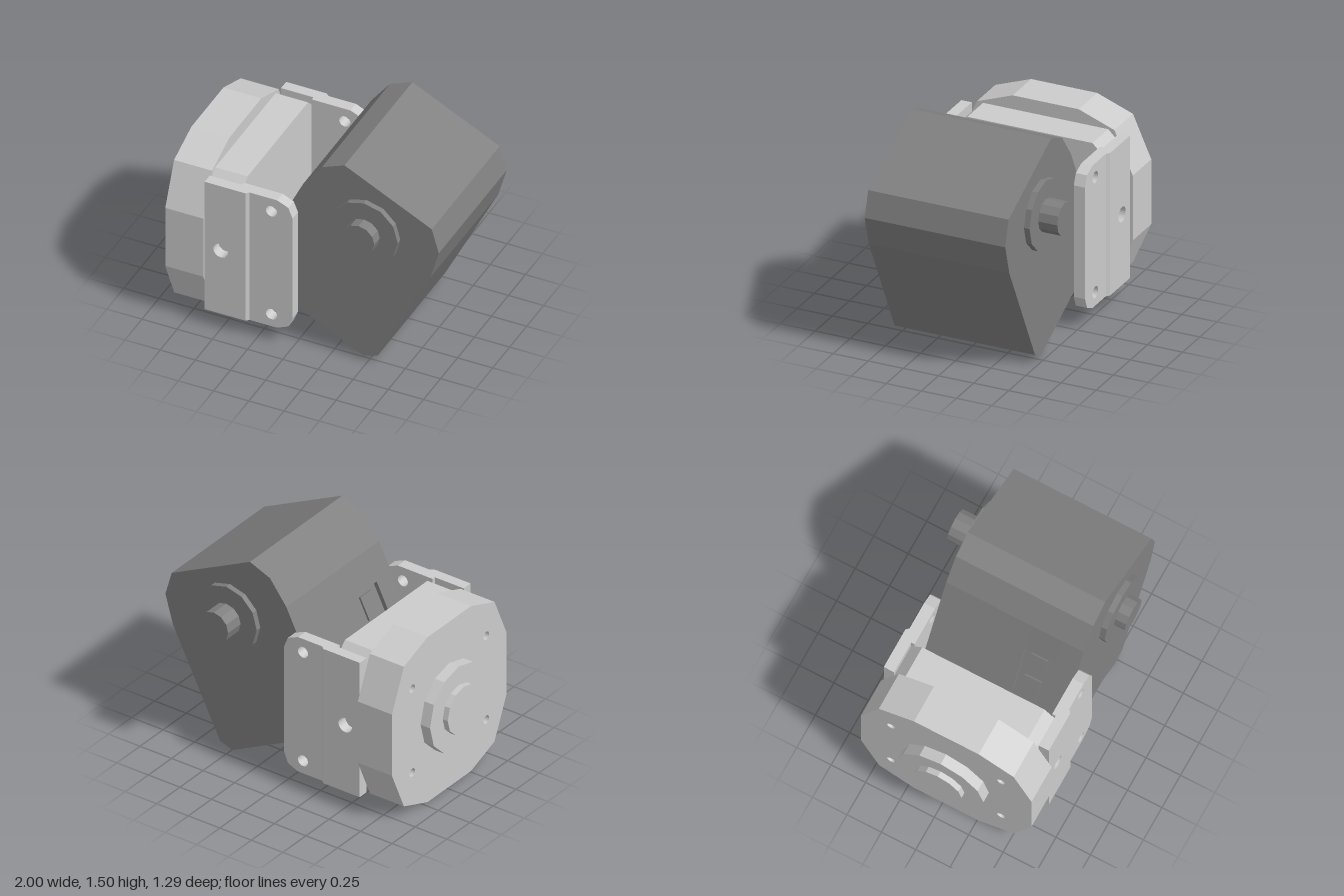
import * as THREE from 'three';

const ZC = 0.025; // depth centre of the symmetric parts
const YC = 0.62;  // height of the flange axis

export function createModel() {
  const model = new THREE.Group();
  const light = new THREE.MeshStandardMaterial({ color: 0xcccccc, flatShading: true });
  const dark = new THREE.MeshStandardMaterial({ color: 0x808080, flatShading: true });

  const add = (name, geometry, material) => {
    const mesh = new THREE.Mesh(geometry, material);
    mesh.name = name;
    model.add(mesh);
    return mesh;
  };
  const shapeOf = (points, holes = []) => {
    const shape = new THREE.Shape(points.map(([x, y]) => new THREE.Vector2(x, y)));
    for (const [x, y, r] of holes) {
      shape.holes.push(new THREE.Path().absarc(x, y, r, 0, Math.PI * 2, true));
    }
    return shape;
  };
  const extrude = (shape, depth) =>
    new THREE.ExtrudeGeometry(shape, { depth, bevelEnabled: false, curveSegments: 12 });
  // outline in x/y, between two z values
  const alongZ = (points, z0, z1, holes) =>
    extrude(shapeOf(points, holes), z1 - z0).translate(0, 0, z0);
  // outline in z/y, between two x values
  const alongX = (points, x0, x1, holes) =>
    extrude(shapeOf(points, holes), x1 - x0).rotateY(-Math.PI / 2).translate(x1, YC, ZC);
  // outline in x/z, between two y values
  const alongY = (points, y0, y1) =>
    extrude(shapeOf(points.map(([x, z]) => [x, -z])), y1 - y0).rotateX(-Math.PI / 2).translate(0, y0, 0);
  // mirror one quadrant of an outline into all four, counter-clockwise
  const quad = (q) => {
    const r = [...q].reverse();
    return [...q, ...r.map(([a, b]) => [-a, b]), ...q.map(([a, b]) => [-a, -b]), ...r.map(([a, b]) => [a, -b])];
  };

  // Round flange with four bolt holes and a stepped hub
  const bolts = [];
  for (const a of [-1, 1]) for (const b of [-1, 1]) bolts.push([a * 0.4, b * 0.315, 0.03]);
  add('flange', alongX(quad([[0.62, 0.23], [0.49, 0.525], [0.235, 0.62]]), -0.885, -0.615, bolts), light);
  for (const [name, r, x0, x1] of [['flangeHub', 0.31, -0.96, -0.885], ['flangeBoss', 0.173, -1, -0.96]]) {
    add(name, new THREE.CylinderGeometry(r, r, x1 - x0, 12).rotateZ(Math.PI / 2)
      .translate((x0 + x1) / 2, YC, ZC), light);
  }

  // Chamfered core block behind the flange
  add('coreBlock', alongX(quad([[0.525, 0.445], [0.445, 0.523]]), -0.615, -0.385), light);

  // Pair of side brackets
  const thick = [[-0.615, 0.12], [-0.325, 0.12], [-0.325, 1.13], [-0.615, 1.13]];
  const plate = [[-0.385, 0.12], [-0.11, 0.12], [-0.03, 0.155], [0, 0.23],
    [0, 1.02], [-0.03, 1.095], [-0.11, 1.13], [-0.385, 1.13]];
  for (const s of [-1, 1]) {
    const side = s > 0 ? 'left' : 'right';
    const span = (a, b) => (s > 0 ? [ZC + a, ZC + b] : [ZC - b, ZC - a]);
    add(side + 'BracketBase', alongZ(thick, ...span(0.525, 0.6), [[-0.5, YC, 0.053]]), light);
    add(side + 'BracketPlate', alongZ(plate, ...span(0.5, 0.58),
      [[-0.15, 1.03, 0.04], [-0.15, 0.215, 0.04]]), light);
    add(side + 'BracketStep', alongY([[-0.325, ZC + s * 0.57], [-0.305, ZC + s * 0.57],
      [-0.305, ZC + s * 0.58], [-0.325, ZC + s * 0.6]], 0.12, 1.13), light);
  }

  // Tilted housing, built in three slices so the middle one holds the socket recess
  const outline = [[-0.333, 0.513], [-0.3, 0.416], [0.465, 0.03], [0.565, 0.06], [0.94, 0.8],
    [1, 1.01], [0.95, 1.185], [0.33, 1.495], [0.17, 1.43], [0.04, 1.26]];
  // point on the sloping face: s along it, d below it
  const onFace = (s, d) => [-0.333 + 0.447 * s + 0.894 * d, 0.513 + 0.894 * s - 0.447 * d];
  const notch = [onFace(0.62, 0), onFace(0.62, 0.03), onFace(0.119, 0.03), onFace(0.119, 0)];
  add('housingBack', alongZ(outline, -0.475, 0.15), dark);
  add('housingSocket', alongZ([...outline, ...notch], 0.15, 0.37), dark);
  add('housingFront', alongZ(outline, 0.37, 0.525), dark);
  for (const [s0, s1] of [[0.2, 0.39], [0.425, 0.59]]) {
    add('socketPin', alongZ([onFace(s0, 0.015), onFace(s0, 0.035), onFace(s1, 0.035), onFace(s1, 0.015)],
      0.195, 0.315), dark);
  }

  // Pivot collars and shaft
  for (const [name, r, z0, z1] of [['pivotCollar', 0.24, -0.515, 0.565], ['pivotShaft', 0.113, -0.65, 0.645]]) {
    add(name, new THREE.CylinderGeometry(r, r, z1 - z0, 12).rotateX(Math.PI / 2)
      .translate(0.487, 1.03, (z0 + z1) / 2), dark);
  }
  return model;
}
